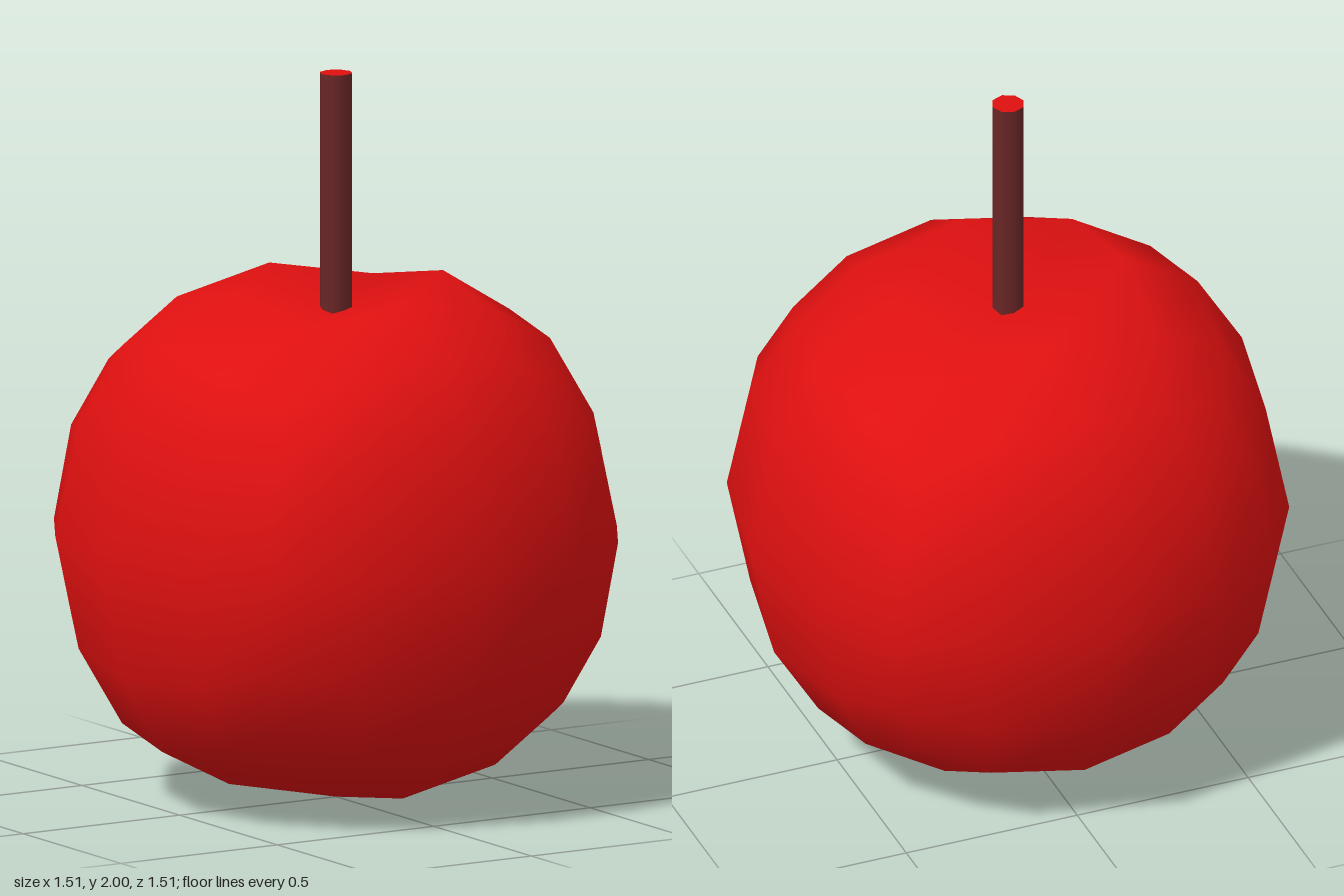
import * as THREE from 'three';
import { mergeVertices } from 'three/addons/utils/BufferGeometryUtils.js';

const CENTER_Y = 0.735;

// Radius for each kind of cube-grid point, keyed by its sorted |x|,|y|,|z| steps
const RADII = {
  '200': 0.755, '210': 0.765, '211': 0.768, '220': 0.785, '221': 0.782, '222': 0.775,
};

// A 4x4x4 cube rounded into an apple, with a hollow for the stem
function appleGeometry() {
  const box = new THREE.BoxGeometry(4, 4, 4, 4, 4, 4);
  box.deleteAttribute('normal');
  box.deleteAttribute('uv');
  const geometry = mergeVertices(box);
  const pos = geometry.attributes.position;
  const v = new THREE.Vector3();
  for (let i = 0; i < pos.count; i++) {
    v.fromBufferAttribute(pos, i).round();
    const steps = v.toArray();
    const key = steps.map(Math.abs).sort((a, b) => b - a).join('');
    v.setLength(RADII[key]);
    v.y += CENTER_Y;
    if (key === '200' && steps[1] === 2) v.y = 1.34; // stem hollow
    if (key === '200' && steps[1] === -2) v.y = 0; // resting point
    if (key === '210' && steps[1] === -2 && steps[0] !== 0) v.y = 0.07; // uneven underside
    pos.setXYZ(i, v.x, v.y, v.z);
  }
  geometry.clearGroups();
  geometry.computeVertexNormals();
  return geometry;
}

export function createModel() {
  const red = new THREE.MeshStandardMaterial({ color: 0xe01010 });
  red.name = 'apple red';
  const brown = new THREE.MeshStandardMaterial({ color: 0x6a2626 });
  brown.name = 'stem brown';

  const model = new THREE.Group();
  model.name = 'apple';

  const fruit = new THREE.Mesh(appleGeometry(), red);
  fruit.name = 'fruit';
  model.add(fruit);

  // Eight-sided stem with a red end cap
  const bottom = 1.32, top = 2;
  const stem = new THREE.Mesh(
    new THREE.CylinderGeometry(0.045, 0.045, top - bottom, 8),
    [brown, red, brown],
  );
  stem.name = 'stem';
  stem.position.y = (top + bottom) / 2;
  model.add(stem);

  return model;
}
